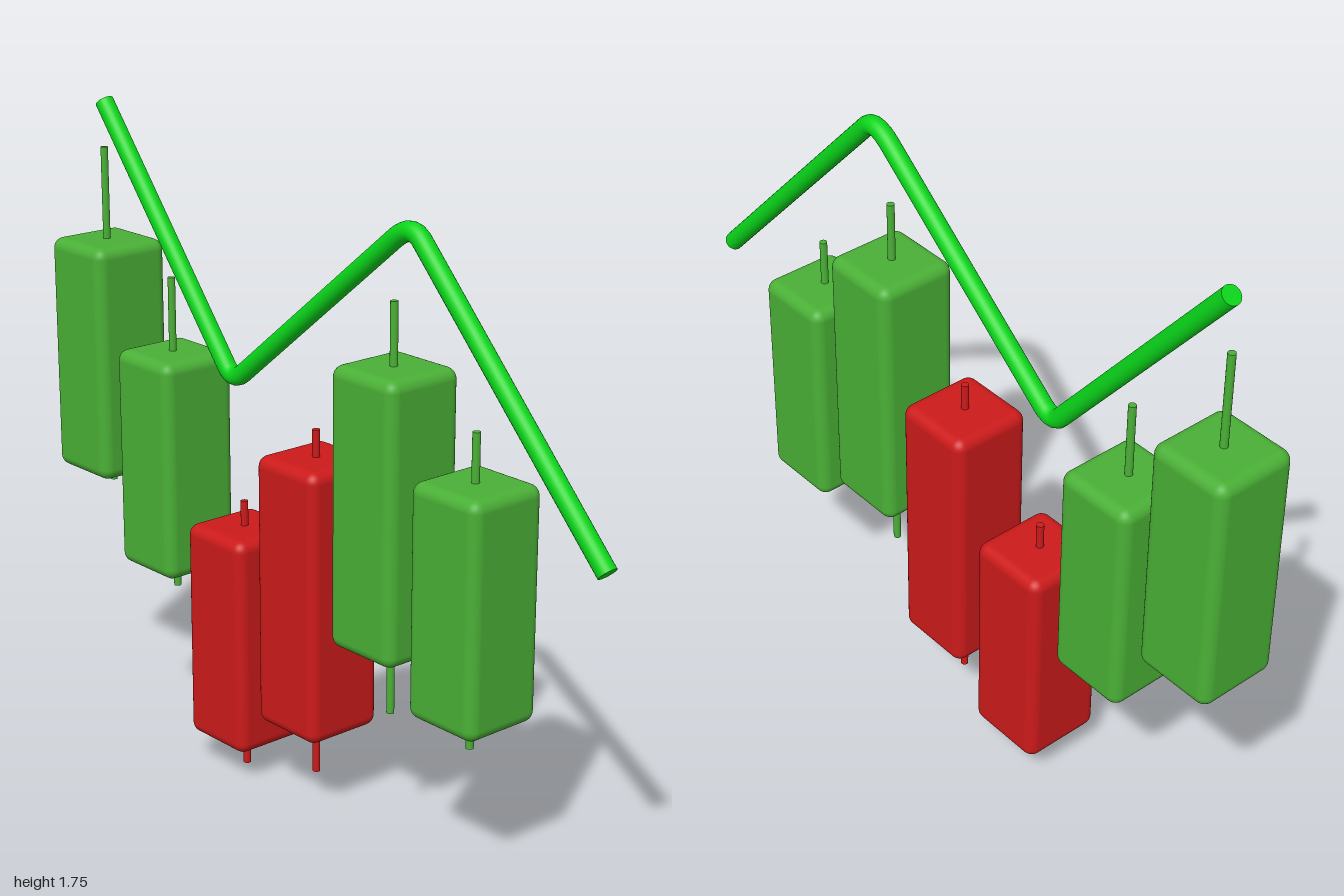
import * as THREE from 'three';
import { RoundedBoxGeometry } from 'three/addons/geometries/RoundedBoxGeometry.js';

const WIDTH = 0.226;
const TUBE_RADIUS = 0.025;
const TUBE_X = -0.017;

const paint = (color) => new THREE.MeshStandardMaterial({ color });

// One candlestick: a rounded block with a thin wick running through it
function makeCandle([z, low, bottom, top, high], material) {
  const candle = new THREE.Group();
  const body = new THREE.Mesh(new RoundedBoxGeometry(WIDTH, top - bottom, WIDTH, 5, 0.03), material);
  body.name = 'candleBody';
  body.position.set(0, (top + bottom) / 2, z);
  const wick = new THREE.Mesh(new THREE.CylinderGeometry(0.01, 0.01, high - low, 16), material);
  wick.name = 'candleWick';
  wick.position.set(-0.003, (low + high) / 2, z);
  candle.add(body, wick);
  return candle;
}

// Zigzag trend line: straight runs joined by rounded bends, flat caps at the ends
function makeTrendLine(material) {
  const p = (z, y) => new THREE.Vector3(TUBE_X, y, z);
  const start = p(0.986, 0.933), end = p(-0.86, 1.732);
  const peak = [p(0.372, 1.578), p(0.338, 1.611), p(0.281, 1.565)];
  const dip = [p(-0.287, 1.11), p(-0.326, 1.079), p(-0.353, 1.112)];
  const path = new THREE.CurvePath();
  path.add(new THREE.LineCurve3(start, peak[0]));
  path.add(new THREE.QuadraticBezierCurve3(...peak));
  path.add(new THREE.LineCurve3(peak[2], dip[0]));
  path.add(new THREE.QuadraticBezierCurve3(...dip));
  path.add(new THREE.LineCurve3(dip[2], end));

  const line = new THREE.Group();
  line.name = 'trendLine';
  const tube = new THREE.Mesh(new THREE.TubeGeometry(path, 160, TUBE_RADIUS, 24, false), material);
  tube.name = 'trendTube';
  line.add(tube);
  for (const [point, inner] of [[start, peak[0]], [end, dip[2]]]) {
    const cap = new THREE.Mesh(new THREE.CircleGeometry(TUBE_RADIUS, 24), material);
    cap.name = 'trendCap';
    cap.position.copy(point);
    cap.lookAt(point.clone().multiplyScalar(2).sub(inner));
    line.add(cap);
  }
  return line;
}

export function createModel() {
  const model = new THREE.Group();
  model.name = 'candlestickChart';
  const green = paint(0x4ab036);
  const red = paint(0xcc1a1a);

  // z, wick low, body bottom, body top, wick high
  const rising = [
    [0.552, 0.35, 0.425, 1.03, 1.155],
    [0.267, 0.345, 0.52, 1.25, 1.41],
    [-0.602, 0.43, 0.495, 1.1, 1.3],
    [-0.887, 0.665, 0.705, 1.355, 1.605],
  ];
  const falling = [
    [-0.017, 0.08, 0.217, 0.95, 1.022],
    [-0.306, 0, 0.087, 0.687, 0.755],
  ];
  for (const [name, list, material] of [['risingCandle', rising, green], ['fallingCandle', falling, red]]) {
    list.forEach((spec, i) => {
      const candle = makeCandle(spec, material);
      candle.name = name + (i + 1);
      model.add(candle);
    });
  }

  model.add(makeTrendLine(paint(0x0ad61a)));
  return model;
}
